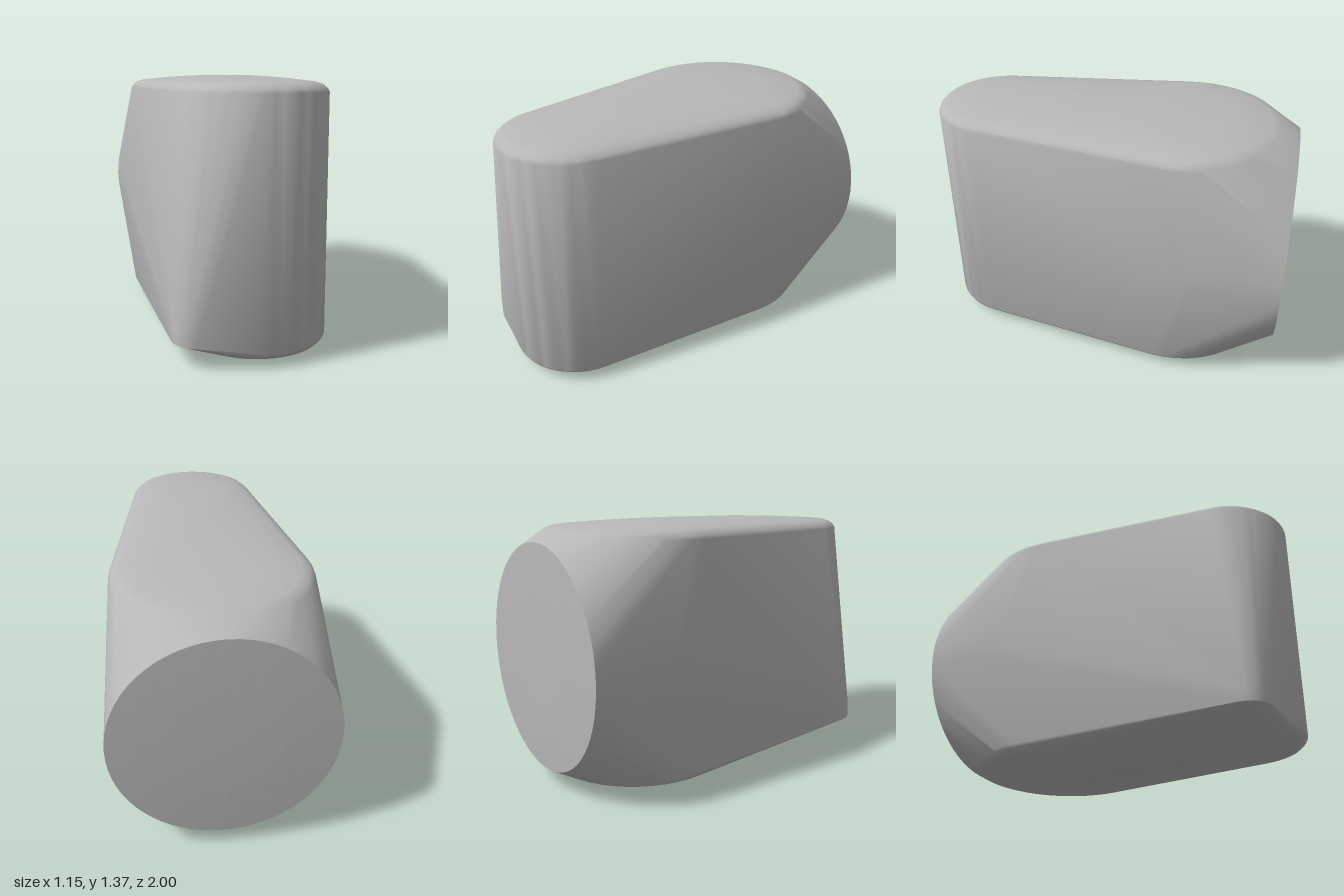
import * as THREE from 'three';
import { ConvexGeometry } from 'three/addons/geometries/ConvexGeometry.js';
import { toCreasedNormals } from 'three/addons/utils/BufferGeometryUtils.js';

const MID = 0.69; // mid height
const points = [];
const add = (x, y, z) => points.push(new THREE.Vector3(x, y, z));

// Teardrop outline: wide round end at the back, narrow round end at the front
function teardrop(inset, scale, y) {
  const tilt = Math.asin((0.515 - 0.36) / 1.04);
  const arc = (cz, r, from, to) => {
    for (let i = 0; i <= 24; i++) {
      const a = from + ((to - from) * i) / 24;
      add(Math.cos(a) * r * scale, y, (cz + Math.sin(a) * r) * scale);
    }
  };
  arc(0.64, 0.36 - inset, tilt, Math.PI - tilt);
  arc(-0.4, 0.515 - inset, Math.PI - tilt, 2 * Math.PI + tilt);
}

// Upright ellipse across the body
function ellipse(rx, ry, z) {
  for (let i = 0; i < 64; i++) {
    const a = (i / 64) * Math.PI * 2;
    add(Math.cos(a) * rx, MID + Math.sin(a) * ry, z);
  }
}

export function createModel() {
  points.length = 0;
  const group = new THREE.Group();
  const grey = new THREE.MeshStandardMaterial({ color: 0xb8b8b8 });
  grey.name = 'grey';

  // Rounded rims and shallow domes, mirrored top and bottom
  for (const s of [1, -1]) {
    for (const [inset, h] of [[0, 0.606], [0.008, 0.622], [0.03, 0.642], [0.07, 0.655]]) {
      teardrop(inset, 1, MID + s * h);
    }
    for (const t of [0.75, 0.5, 0.25]) teardrop(0.07, t, MID + s * (0.685 - 0.03 * t * t));
  }

  // Barrel sides and slightly domed round back
  ellipse(0.54, 0.56, -0.4);
  ellipse(0.557, 0.575, -0.52);
  ellipse(0.567, 0.585, -0.65);
  ellipse(0.573, 0.59, -0.8);
  ellipse(0.575, 0.59, -0.985);
  ellipse(0.29, 0.295, -1);

  // Pulled-out lower front corner
  for (const y of [0.115, 0.2]) {
    for (const [x, z] of [[-0.458, 0.81], [-0.452, 0.85], [-0.43, 0.893], [-0.4, 0.925], [-0.36, 0.942]]) add(x, y, z);
  }

  const body = new THREE.Mesh(toCreasedNormals(new ConvexGeometry(points), 0.5), grey);
  body.name = 'body';
  group.add(body);
  return group;
}
